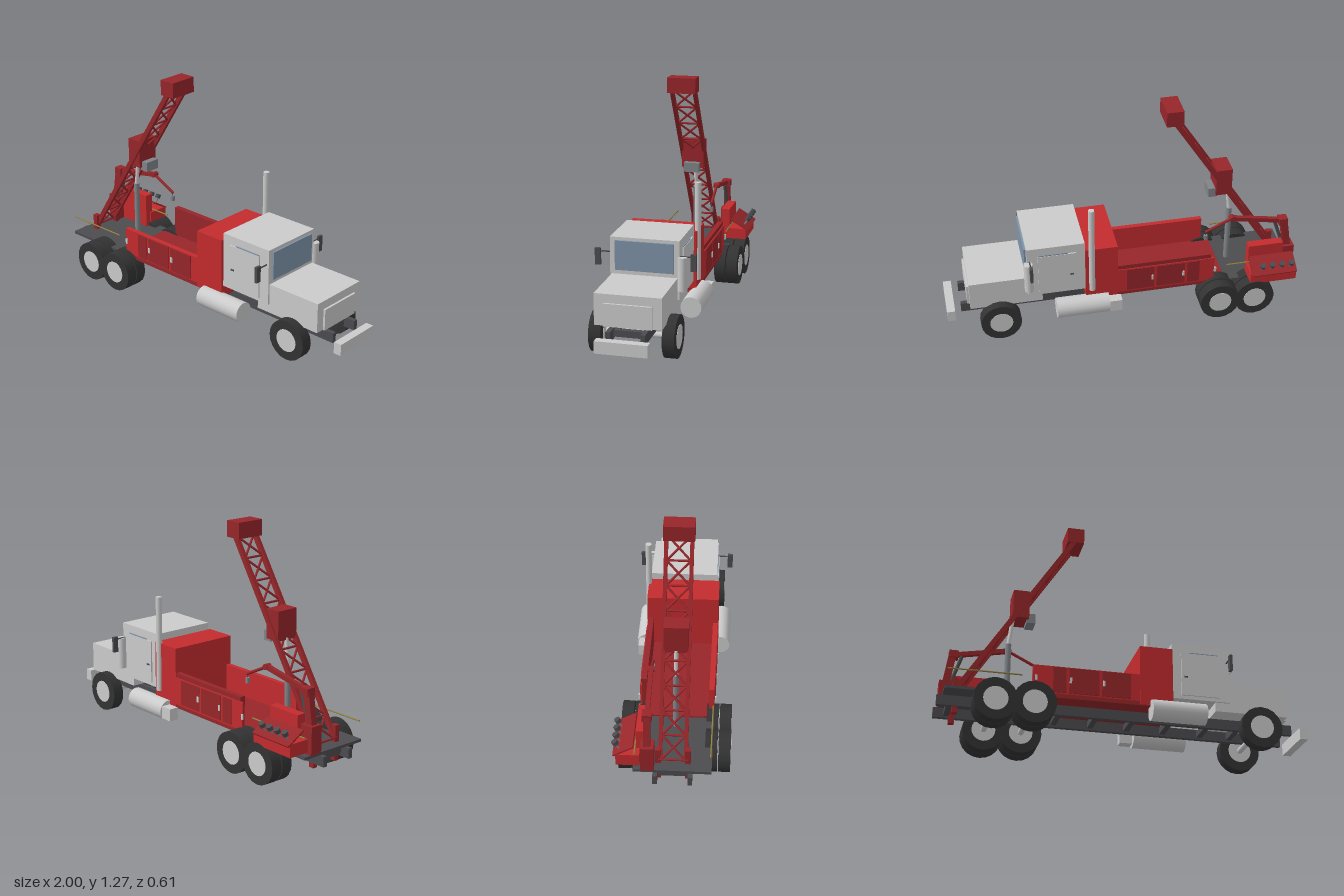
import * as THREE from 'three';

const mat = (color) => new THREE.MeshStandardMaterial({ color });
const grey = mat(0xcccccc), red = mat(0xc42b2e), maroon = mat(0x97262a), dark = mat(0x4c4c50);
const tyre = mat(0x333333), glass = mat(0x7f93a8), brass = mat(0x8f8040), steel = mat(0x808488);

export function createModel() {
  const truck = new THREE.Group();
  truck.name = 'drillTruck';
  truck.position.z = 0.01;

  const add = (name, geometry, material) => {
    const mesh = new THREE.Mesh(geometry, material);
    mesh.name = name;
    truck.add(mesh);
    return mesh;
  };
  // box given by its limits on each axis
  const box = (name, m, x0, x1, y0, y1, z0, z1) => {
    const b = add(name, new THREE.BoxGeometry(x1 - x0, y1 - y0, z1 - z0), m);
    b.position.set((x0 + x1) / 2, (y0 + y1) / 2, (z0 + z1) / 2);
    return b;
  };
  // round or square bar between two points
  const aim = (mesh, a, b) => {
    const A = new THREE.Vector3(...a), B = new THREE.Vector3(...b);
    mesh.position.copy(A).add(B).multiplyScalar(0.5);
    mesh.quaternion.setFromUnitVectors(new THREE.Vector3(0, 1, 0), B.sub(A).normalize());
    return mesh;
  };
  const dist = (a, b) => Math.hypot(a[0] - b[0], a[1] - b[1], a[2] - b[2]);
  const rod = (name, m, a, b, r, r2 = r) =>
    aim(add(name, new THREE.CylinderGeometry(r2, r, dist(a, b), 20), m), a, b);
  const beam = (name, m, a, b, w, d) =>
    aim(add(name, new THREE.BoxGeometry(w, dist(a, b), d), m), a, b);

  // chassis
  for (const s of [-1, 1]) box('frameRail', dark, -1, 0.92, 0.13, 0.185, s * 0.09 - 0.012, s * 0.09 + 0.012);
  for (const x of [-0.93, -0.62, -0.36, -0.16, 0.04, 0.24, 0.45, 0.62, 0.84])
    box('crossMember', dark, x - 0.015, x + 0.015, 0.14, 0.175, -0.09, 0.09);
  box('rearDeck', dark, -0.97, -0.5, 0.185, 0.2, -0.205, 0.2);
  box('bumper', grey, 0.955, 1, 0.1, 0.165, -0.137, 0.137);

  // wheels: single in front, doubled on the two rear axles
  const wheel = (x, z0, z1) => {
    rod('tyre', tyre, [x, 0.114, z0], [x, 0.114, z1], 0.113);
    rod('rim', grey, [x, 0.114, z0 - 0.002], [x, 0.114, z1 + 0.002], 0.064);
  };
  for (const x of [0.71, -0.52, -0.72]) {
    rod('axle', grey, [x, 0.114, -0.17], [x, 0.114, 0.17], 0.016);
    for (const s of [-1, 1]) {
      const pair = (a, b) => wheel(x, Math.min(s * a, s * b), Math.max(s * a, s * b));
      pair(0.16, 0.224);
      if (x < 0) pair(0.23, 0.294);
    }
  }

  // cab and hood
  box('cab', grey, 0.23, 0.55, 0.25, 0.565, -0.185, 0.185);
  box('hood', grey, 0.47, 0.872, 0.2, 0.367, -0.175, 0.175);
  box('grille', grey, 0.87, 0.884, 0.2, 0.32, -0.127, 0.127);
  box('windshield', glass, 0.545, 0.56, 0.39, 0.548, -0.157, 0.157);
  for (const s of [-1, 1]) {
    const side = (name, m, x0, x1, y0, y1, a, b) =>
      box(name, m, x0, x1, y0, y1, Math.min(s * a, s * b), Math.max(s * a, s * b));
    side('door', grey, 0.28, 0.49, 0.27, 0.513, 0.18, 0.193);
    side('doorWindow', glass, 0.325, 0.485, 0.4, 0.519, 0.18, 0.19);
    side('doorHandle', dark, 0.295, 0.315, 0.37, 0.378, 0.19, 0.198);
    rod('mirrorArm', dark, [0.535, 0.48, s * 0.18], [0.535, 0.48, s * 0.255], 0.004);
    side('mirror', dark, 0.527, 0.543, 0.405, 0.495, 0.24, 0.27);
    rod('fuelTank', grey, [0.105, 0.158, s * 0.21], [0.4, 0.158, s * 0.21], 0.057);
  }
  box('stepBox', grey, 0.035, 0.11, 0.12, 0.19, -0.255, -0.2);
  rod('exhaustStack', grey, [0.195, 0.25, -0.2], [0.195, 0.79, -0.2], 0.017);
  rod('airCleaner', grey, [0.545, 0.3, -0.2], [0.545, 0.48, -0.2], 0.025);

  // equipment housing and open bed with side lockers
  box('housing', red, 0.05, 0.23, 0.19, 0.525, -0.2, 0.2);
  box('bedFloor', maroon, -0.565, 0.23, 0.185, 0.208, -0.198, 0.198);
  box('leftLocker', red, -0.52, 0.05, 0.205, 0.36, 0.17, 0.198);
  box('rightLocker', maroon, -0.48, 0.05, 0.205, 0.385, -0.195, -0.165);
  box('rightLockerSide', red, -0.5, 0.05, 0.205, 0.36, -0.2, -0.19);
  for (const s of [-1, 1]) {
    for (const [x0, x1] of [[-0.415, -0.345], [-0.33, -0.17], [-0.155, 0.0]]) {
      const d = box('lockerDoor', maroon, x0, x1, 0.215, 0.355, -0.003, 0.003);
      d.position.z = s * 0.2;
    }
    for (const x of [-0.505, -0.322, -0.145]) {
      const h = box('lockerHandle', grey, x - 0.006, x + 0.006, 0.27, 0.3, -0.004, 0.004);
      h.position.z = s * 0.205;
    }
  }

  // lattice mast, leaning forward
  const at = (t, z) => [-0.91 + 0.62 * t, 0.22 + 0.97 * t, z];
  for (const s of [-1, 1]) beam('mastRail', maroon, at(0, s * 0.066), at(1, s * 0.066), 0.027, 0.02);
  const bays = 9;
  for (let i = 0; i < bays; i++) {
    const a = i / bays, b = (i + 1) / bays;
    rod('mastRung', maroon, at(a, -0.066), at(a, 0.066), 0.006);
    for (const s of [-1, 1]) rod('mastBrace', maroon, at(a, s * 0.062), at(b, -s * 0.062), 0.006);
  }
  box('crownBlock', maroon, -0.33, -0.237, 1.18, 1.267, -0.081, 0.081);
  box('driveHead', maroon, -0.618, -0.53, 0.69, 0.85, -0.064, 0.064);
  box('motor', steel, -0.54, -0.492, 0.67, 0.725, -0.045, 0.045);
  rod('liftCylinder', steel, [-0.628, 0.2, 0], [-0.628, 0.55, 0], 0.016);
  rod('liftPiston', grey, [-0.628, 0.55, 0], [-0.61, 0.7, 0], 0.011);
  for (const s of [-1, 1]) {
    box('jackLeg', maroon, -0.918, -0.888, 0.097, 0.29, s * 0.077 - 0.014, s * 0.077 + 0.014);
    rod('pipe', brass, [-0.96, 0.296, s * 0.195], [-0.575, 0.296, s * 0.195], 0.004);
  }

  // control console with levers
  box('console', red, -0.955, -0.69, 0.215, 0.285, -0.292, -0.17);
  box('valveCabinet', red, -0.9, -0.7, 0.2, 0.4, -0.19, -0.14);
  beam('controlPanel', maroon, [-0.825, 0.275, -0.305], [-0.825, 0.338, -0.2], 0.26, 0.008);
  for (let i = 0; i < 4; i++) {
    const x = -0.92 + i * 0.055;
    rod('lever', steel, [x, 0.29, -0.27], [x, 0.33, -0.295], 0.005);
    rod('leverKnob', dark, [x, 0.325, -0.29], [x, 0.345, -0.3], 0.016);
  }

  // knuckle boom crane
  const z = -0.13;
  box('craneBase', maroon, -0.975, -0.9, 0.2, 0.35, z - 0.035, z + 0.035);
  beam('craneColumn', maroon, [-0.94, 0.33, z], [-0.91, 0.52, z], 0.04, 0.035);
  box('craneKnuckle', maroon, -0.93, -0.88, 0.495, 0.535, z - 0.025, z + 0.025);
  rod('craneCylinder', dark, [-0.92, 0.33, z], [-0.86, 0.51, z], 0.01);
  beam('craneArm', maroon, [-0.905, 0.515, z], [-0.61, 0.57, z], 0.024, 0.024);
  rod('craneElbow', maroon, [-0.61, 0.57, z - 0.017], [-0.61, 0.57, z + 0.017], 0.016);
  rod('craneJib', maroon, [-0.61, 0.57, z], [-0.46, 0.495, z], 0.008);
  rod('hookLine', dark, [-0.462, 0.495, z], [-0.462, 0.47, z], 0.002);
  box('hookBlock', steel, -0.472, -0.454, 0.445, 0.475, z - 0.009, z + 0.009);

  const model = new THREE.Group();
  model.name = 'model';
  model.add(truck);
  return model;
}
